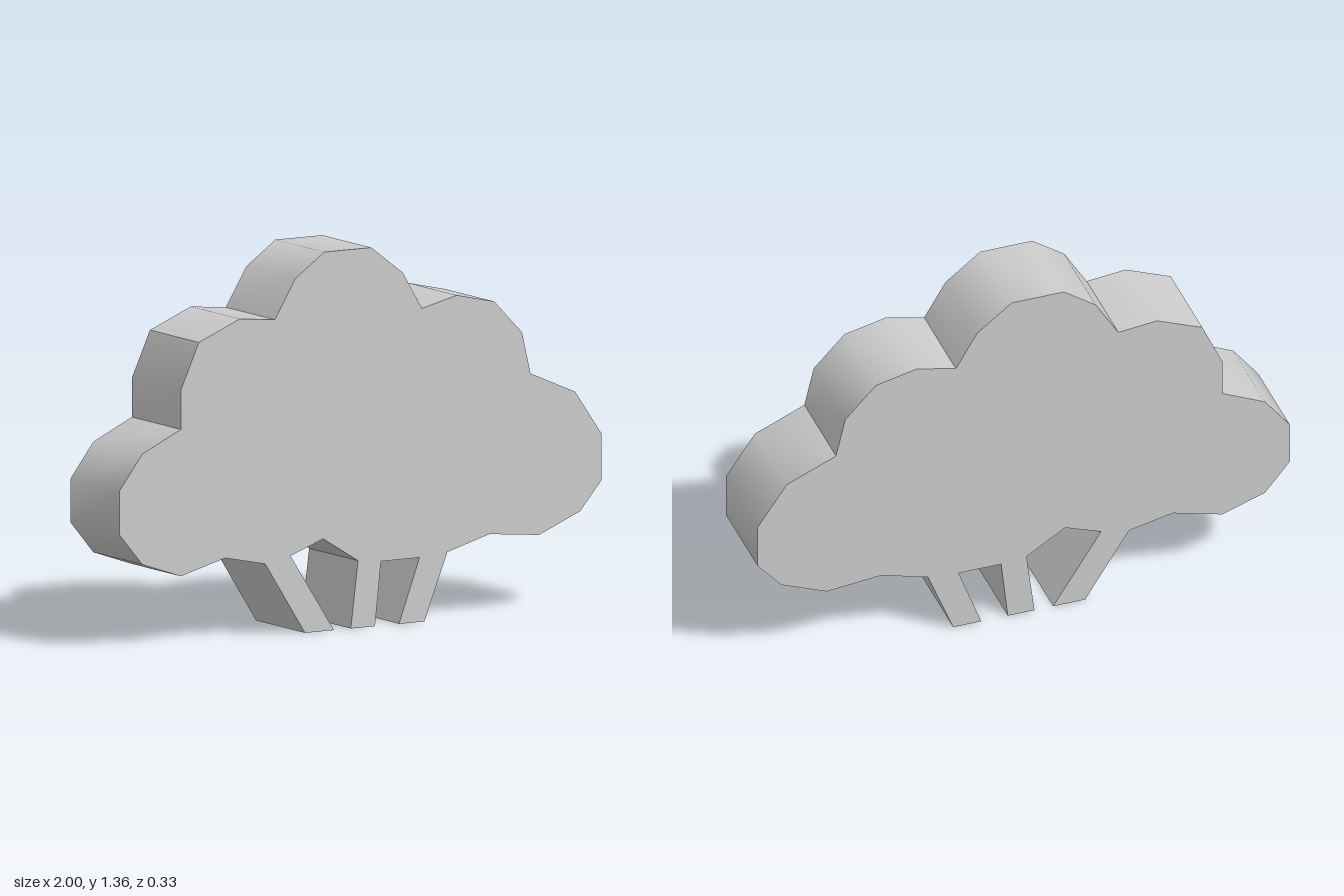
import * as THREE from 'three';
import { toCreasedNormals } from 'three/addons/utils/BufferGeometryUtils.js';

const DEPTH = 0.33;

// Outline, counter-clockwise from the foot of the left-hand trunk
const trunks = [
  [-0.23, 0], [-0.11, 0], [-0.29, 0.28], [-0.155, 0.33], [-0.01, 0.24],
  [-0.04, 0], [0.06, 0], [0.085, 0.23], [0.245, 0.23], [0.16, 0], [0.265, 0],
];
const rightCrown = [
  [0.36, 0.24], [0.535, 0.29], [0.74, 0.27], [0.91, 0.34], [1, 0.445], [1, 0.61],
  [0.89, 0.77], [0.705, 0.85], [0.67, 1.0], [0.555, 1.12], [0.40, 1.155], [0.255, 1.12],
];
const topCrown = [[0.175, 1.255], [0.045, 1.355], [-0.15, 1.355], [-0.27, 1.27], [-0.355, 1.13]];
const leftCrown = [
  [-0.5, 1.145], [-0.67, 1.075], [-0.745, 0.91], [-0.745, 0.77], [-0.905, 0.695], [-1, 0.57],
  [-1, 0.415], [-0.905, 0.30], [-0.745, 0.245], [-0.56, 0.295], [-0.395, 0.26],
];

export function createModel() {
  const group = new THREE.Group();
  group.name = 'tree';

  // One slab cut along the outline: lobes shade smoothly, valleys and trunks stay sharp
  const points = [...trunks, ...rightCrown, ...topCrown, ...leftCrown];
  const shape = new THREE.Shape(points.map(([x, y]) => new THREE.Vector2(x, y)));
  const slab = new THREE.ExtrudeGeometry(shape, { depth: DEPTH, bevelEnabled: false });
  slab.translate(0, 0, -DEPTH / 2);

  const tree = new THREE.Mesh(
    toCreasedNormals(slab, THREE.MathUtils.degToRad(43)),
    new THREE.MeshStandardMaterial({ color: 0xcccccc }),
  );
  tree.name = 'crownAndTrunks';
  group.add(tree);
  return group;
}
